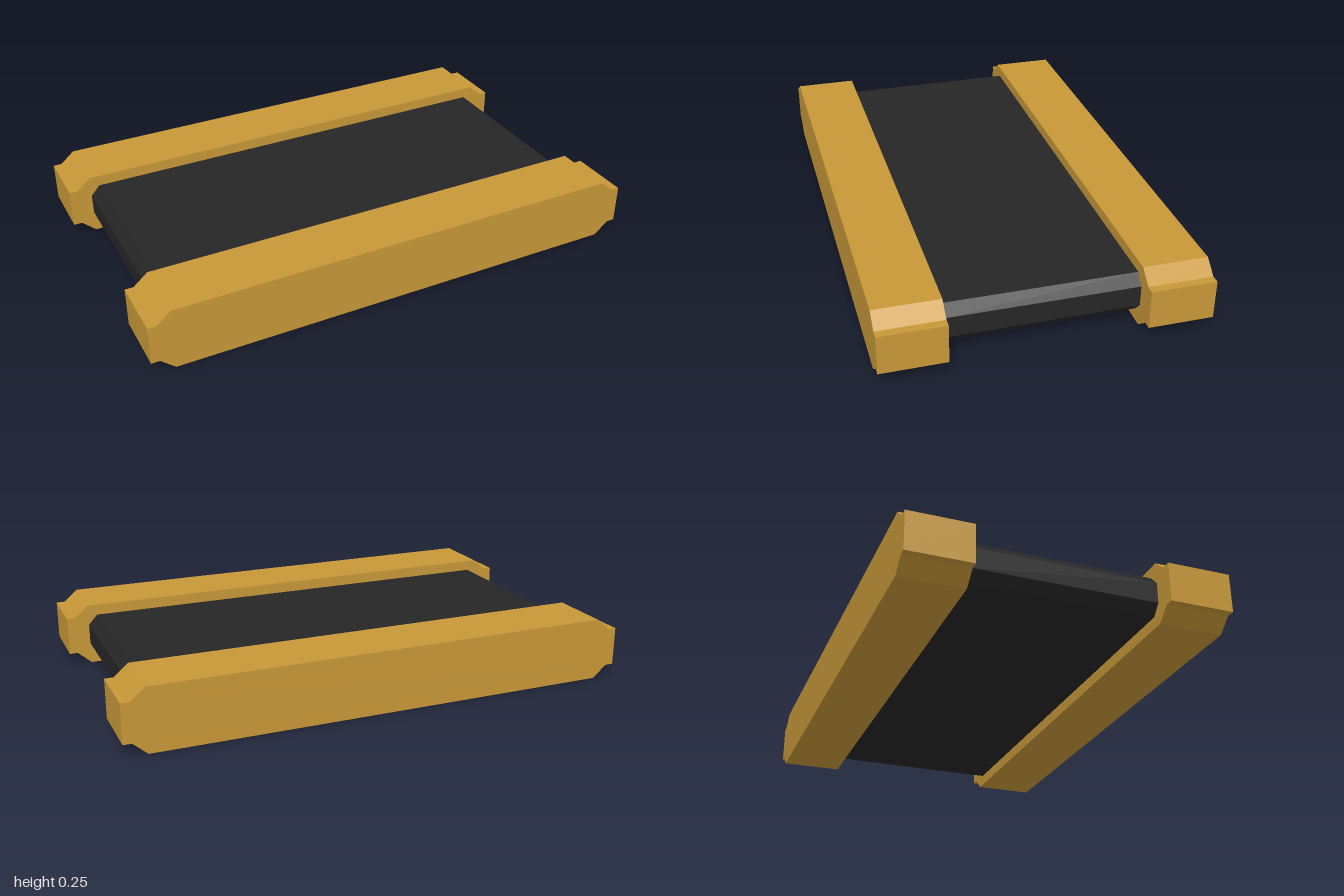
import * as THREE from 'three';

// Extrude an x/y outline along z between two depths
function prism(name, points, z0, z1, color) {
  const shape = new THREE.Shape(points.map(([x, y]) => new THREE.Vector2(x, y)));
  const geometry = new THREE.ExtrudeGeometry(shape, { depth: z1 - z0, bevelEnabled: false });
  geometry.translate(0, 0, z0);
  const mesh = new THREE.Mesh(geometry, new THREE.MeshStandardMaterial({ color, flatShading: true }));
  mesh.name = name;
  return mesh;
}

// Complete an outline from its right half, listed bottom to top
function mirrorX(half) {
  return [...half, ...half.map(([x, y]) => [-x, y]).reverse()];
}

export function createModel() {
  const group = new THREE.Group();
  group.name = 'conveyor';

  // Side rails: chamfered bars with a short square tab at each end
  const rail = mirrorX([
    [0.912, 0], [0.967, 0.048], [1, 0.048],
    [1, 0.2], [0.967, 0.2], [0.912, 0.247],
  ]);
  group.add(prism('frontRail', rail, 0.36, 0.606, 0xc89838));
  group.add(prism('backRail', rail, -0.606, -0.36, 0xc89838));

  // Belt: dark slab with chamfered ends, spanning between the rails
  const belt = mirrorX([
    [0.876, 0.045], [0.912, 0.084], [0.912, 0.165], [0.876, 0.204],
  ]);
  group.add(prism('belt', belt, -0.36, 0.36, 0x262626));

  return group;
}
